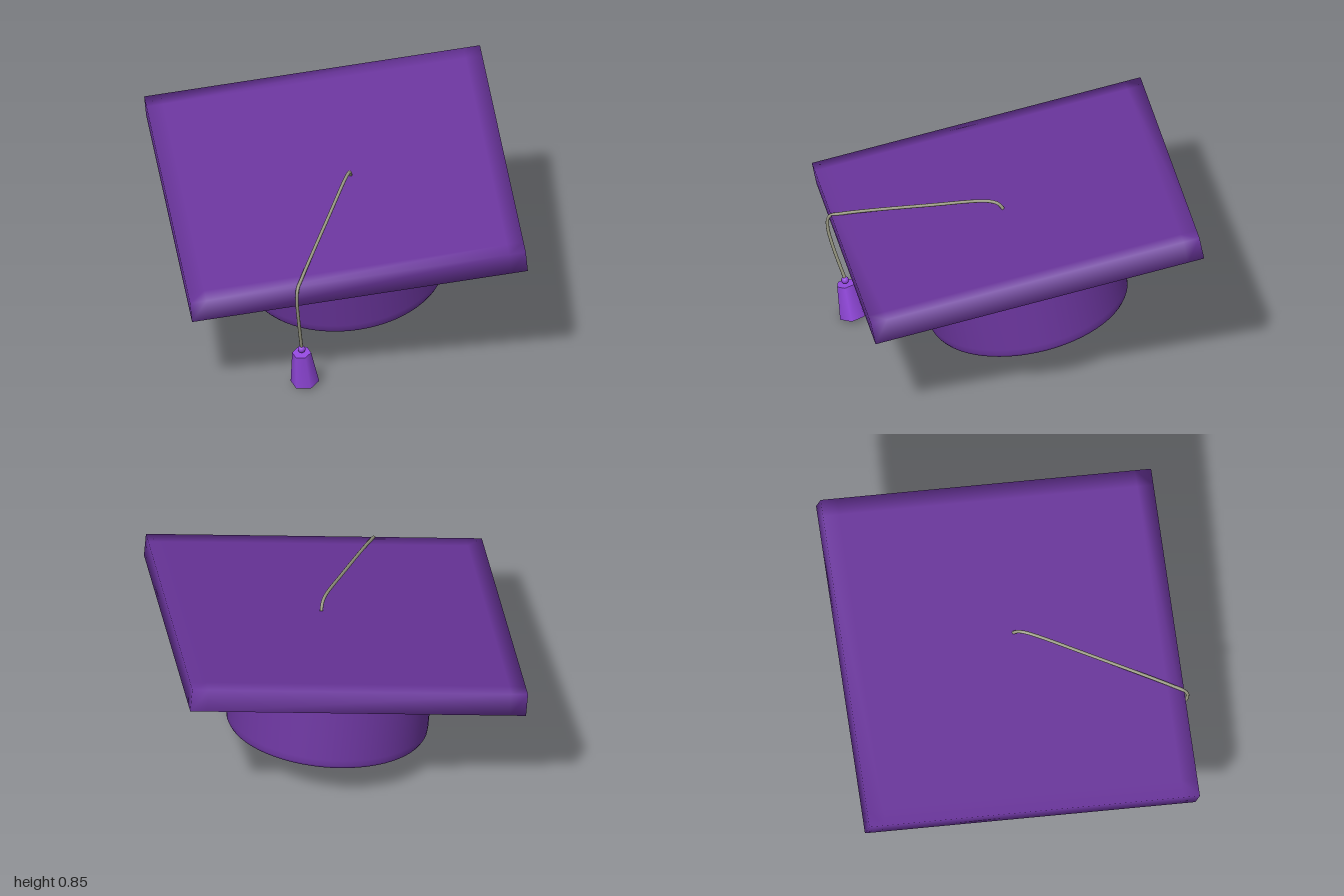
import * as THREE from 'three';
import { mergeVertices } from 'three/addons/utils/BufferGeometryUtils.js';

const V = (x, y, z) => new THREE.Vector3(x, y, z);
const material = (color) => new THREE.MeshStandardMaterial({ color });

function part(name, geometry, mat) {
  const mesh = new THREE.Mesh(geometry, mat);
  mesh.name = name;
  return mesh;
}

// Square slab with an inset edge loop and shared normals, so its rim shades softly
function boardGeometry(side, thickness, inset) {
  const geo = new THREE.BoxGeometry(side, thickness, side, 3, 1, 3);
  const pos = geo.attributes.position;
  const move = (v) => (Math.abs(v) < side * 0.4 ? Math.sign(v) * (side / 2 - inset) : v);
  for (let i = 0; i < pos.count; i++) {
    pos.setX(i, move(pos.getX(i)));
    pos.setZ(i, move(pos.getZ(i)));
  }
  geo.deleteAttribute('normal');
  geo.deleteAttribute('uv');
  const merged = mergeVertices(geo);
  merged.computeVertexNormals();
  return merged;
}

export function createModel() {
  const model = new THREE.Group();
  model.name = 'graduationCap';
  const purple = material(0x6a359c);
  const bright = material(0x9248dc);
  const cordGrey = material(0x9a9a84);

  // Tilted cap: board and hollow skull band
  const cap = new THREE.Group();
  cap.name = 'cap';
  cap.position.set(0, 0.608, 0);
  cap.rotation.set(0.201, -0.012, -0.045);
  model.add(cap);

  const board = part('board', boardGeometry(1.414, 0.1, 0.07), purple);
  board.rotation.y = Math.PI / 4;
  cap.add(board);

  // Inner wall, rounded lower rim, outer wall
  const profile = [
    [0.395, -0.04], [0.395, -0.445], [0.398, -0.455], [0.405, -0.46],
    [0.413, -0.457], [0.42, -0.445], [0.422, -0.42], [0.422, -0.04],
  ].map(([r, y]) => new THREE.Vector2(r, y));
  const bandMaterial = purple.clone();
  bandMaterial.side = THREE.DoubleSide;
  cap.add(part('skullBand', new THREE.LatheGeometry(profile, 64), bandMaterial));

  // Cord running over the board and hanging from its edge
  const path = new THREE.CatmullRomCurve3([
    V(0.063, 0.662, -0.018), V(0.072, 0.685, 0.0), V(0.088, 0.692, 0.04),
    V(0.175, 0.628, 0.28), V(0.30, 0.522, 0.63), V(0.318, 0.498, 0.682),
    V(0.32, 0.45, 0.689), V(0.312, 0.35, 0.668), V(0.292, 0.19, 0.62),
  ]);
  model.add(part('cord', new THREE.TubeGeometry(path, 80, 0.007, 8), cordGrey));

  // Tassel: knot and flared skirt
  const tassel = new THREE.Group();
  tassel.name = 'tassel';
  const knot = part('tasselKnot', new THREE.SphereGeometry(0.016, 16, 12), bright);
  knot.position.set(0.292, 0.184, 0.62);
  const skirt = part('tasselSkirt', new THREE.CylinderGeometry(0.04, 0.06, 0.152, 6), bright);
  skirt.position.set(0.287, 0.092, 0.602);
  skirt.rotation.set(0.21, 0, -0.045);
  tassel.add(knot, skirt);
  model.add(tassel);

  return model;
}
